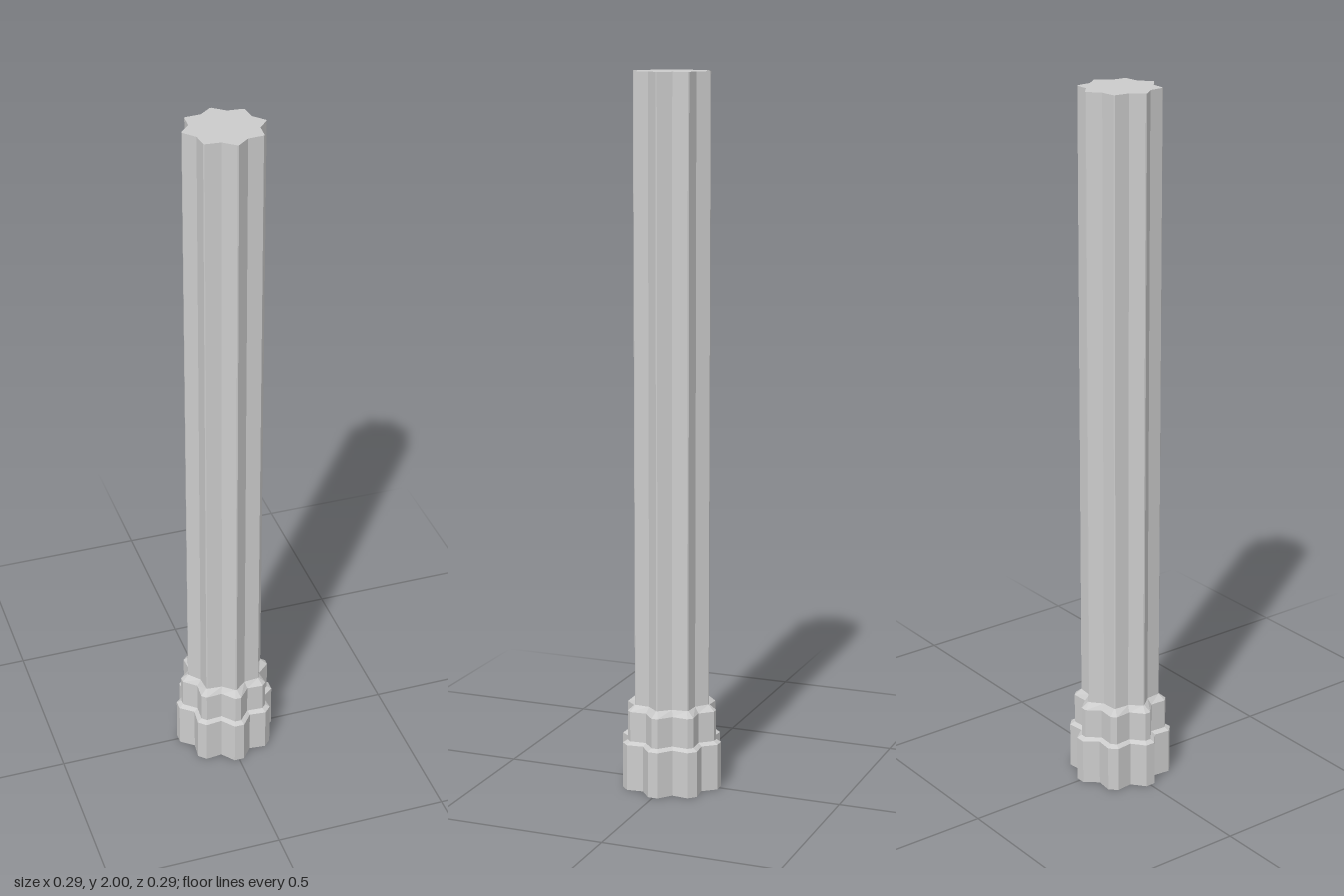
import * as THREE from 'three';

// Eight-lobed outline: blunt tips at radius r (half width w), valleys at radius v
function outline([y, r, w, v]) {
  const points = [];
  for (let i = 0; i < 8; i++) {
    const a = (i * Math.PI) / 4;
    const c = Math.cos(a), s = Math.sin(a);
    for (const k of [-w, w]) points.push(new THREE.Vector3(r * c - k * s, y, r * s + k * c));
    const b = a + Math.PI / 8;
    points.push(new THREE.Vector3(v * Math.cos(b), y, v * Math.sin(b)));
  }
  return points;
}

// Join the sections from bottom to top, with an optional flat cap at either end
function loft(name, sections, material, capBottom = false, capTop = false) {
  const rings = sections.map(outline);
  const n = rings[0].length;
  const points = [];
  for (let k = 0; k < rings.length - 1; k++) {
    const lo = rings[k], hi = rings[k + 1];
    for (let i = 0; i < n; i++) {
      const j = (i + 1) % n;
      points.push(lo[i], hi[i], lo[j], lo[j], hi[i], hi[j]);
    }
  }
  const cap = (ring, up) => {
    const centre = new THREE.Vector3(0, ring[0].y, 0);
    for (let i = 0; i < n; i++) {
      const a = ring[i], b = ring[(i + 1) % n];
      points.push(centre, up ? b : a, up ? a : b);
    }
  };
  if (capBottom) cap(rings[0], false);
  if (capTop) cap(rings[rings.length - 1], true);
  const geometry = new THREE.BufferGeometry().setFromPoints(points);
  geometry.computeVertexNormals();
  const mesh = new THREE.Mesh(geometry, material);
  mesh.name = name;
  return mesh;
}

export function createModel() {
  const material = new THREE.MeshStandardMaterial({ color: 0xcccccc, flatShading: true });
  const model = new THREE.Group();
  model.name = 'flutedColumn';

  // Section profiles: [radius of tips, half width of tips, radius of valleys]
  const wide = [0.144, 0.0145, 0.116];
  const middle = [0.131, 0.009, 0.104];
  const slim = [0.112, 0.002, 0.091];

  // Plinth with a small sloped lip
  model.add(loft('base', [[0, ...wide], [0.132, ...wide], [0.14, ...middle]], material, true));
  // Collar with a chamfer running into the shaft
  model.add(loft('collar', [[0.14, ...middle], [0.226, ...middle], [0.243, ...slim]], material));
  // Tall fluted shaft with a flat top
  model.add(loft('shaft', [[0.243, ...slim], [2, ...slim]], material, false, true));
  return model;
}
